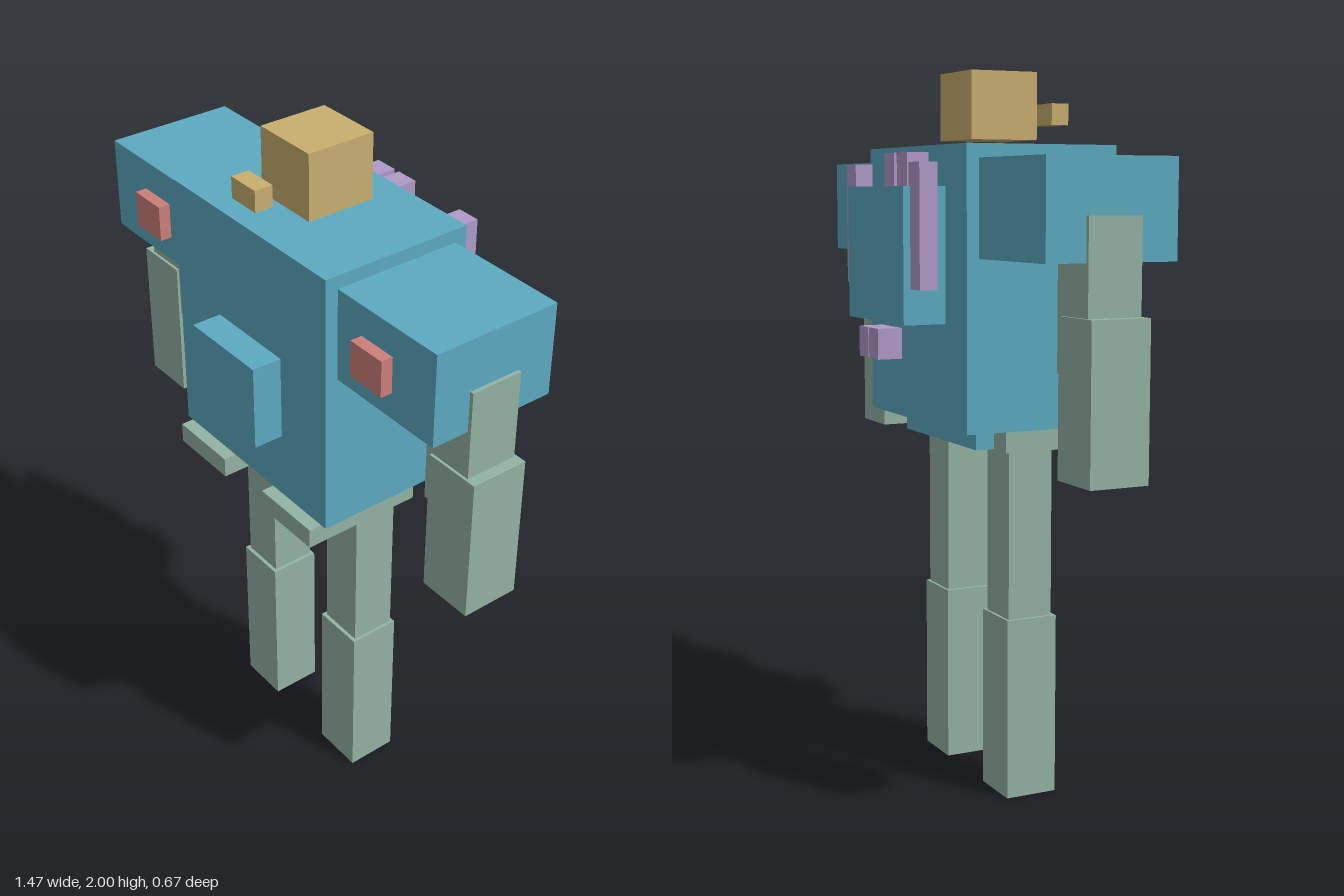
import * as THREE from 'three';

const material = (name, color) => {
  const m = new THREE.MeshStandardMaterial({ color });
  m.name = name;
  return m;
};

export function createModel() {
  const blue = material('blue', 0x5caac1);
  const green = material('sage green', 0x93b3a3);
  const gold = material('gold', 0xc9ae6f);
  const red = material('red', 0xcb7f7a);
  const purple = material('purple', 0xb09ac8);

  const model = new THREE.Group();
  model.name = 'blockRobot';

  // Box given by its [min, max] range on each axis
  const box = (name, mat, [x0, x1], [y0, y1], [z0, z1]) => {
    const mesh = new THREE.Mesh(new THREE.BoxGeometry(x1 - x0, y1 - y0, z1 - z0), mat);
    mesh.position.set((x0 + x1) / 2, (y0 + y1) / 2, (z0 + z1) / 2);
    mesh.name = name;
    model.add(mesh);
  };

  // The same box on the left (+x) and right (-x)
  const pair = (name, mat, [x0, x1], y, z) => {
    box('left' + name, mat, [x0, x1], y, z);
    box('right' + name, mat, [-x1, -x0], y, z);
  };

  // Torso and chest block
  box('torso', blue, [-0.326, 0.326], [1.04, 1.797], [-0.195, 0.25]);
  box('chestBlock', blue, [-0.136, 0.136], [1.233, 1.477], [0.24, 0.336]);

  // Head and floating snout
  box('head', gold, [-0.1, 0.1], [1.815, 2], [-0.073, 0.128]);
  box('snout', gold, [-0.05, 0.05], [1.86, 1.92], [0.202, 0.255]);

  // Shoulders with red lamps
  pair('Shoulder', blue, [0.32, 0.69], [1.5, 1.76], [-0.16, 0.213]);
  pair('ShoulderLamp', red, [0.419, 0.536], [1.573, 1.675], [0.205, 0.247]);

  // Arms
  pair('UpperArm', green, [0.547, 0.701], [1.217, 1.615], [-0.048, 0.104]);
  pair('Forearm', green, [0.568, 0.733], [0.947, 1.365], [-0.056, 0.112]);

  // Pelvis and hip plates
  box('pelvis', blue, [-0.235, 0.235], [0.982, 1.05], [-0.124, 0.18]);
  pair('HipPlate', green, [0.089, 0.305], [0.98, 1.039], [-0.07, 0.287]);

  // Legs
  pair('Thigh', green, [0.129, 0.262], [0.48, 1.0], [-0.038, 0.093]);
  pair('Shin', green, [0.118, 0.272], [0, 0.508], [-0.046, 0.104]);

  // Backpack with side rods, top pegs and bottom pegs
  box('backpack', blue, [-0.195, 0.195], [1.323, 1.688], [-0.317, -0.19]);
  pair('PackRod', purple, [0.186, 0.256], [1.418, 1.75], [-0.297, -0.246]);
  [-0.0865, 0].forEach((x, i) =>
    box('packTopPeg' + (i + 1), purple, [x - 0.034, x + 0.034], [1.66, 1.778], [-0.273, -0.21]));
  pair('PackBottomPeg', purple, [0.003, 0.067], [1.222, 1.306], [-0.338, -0.267]);

  return model;
}
